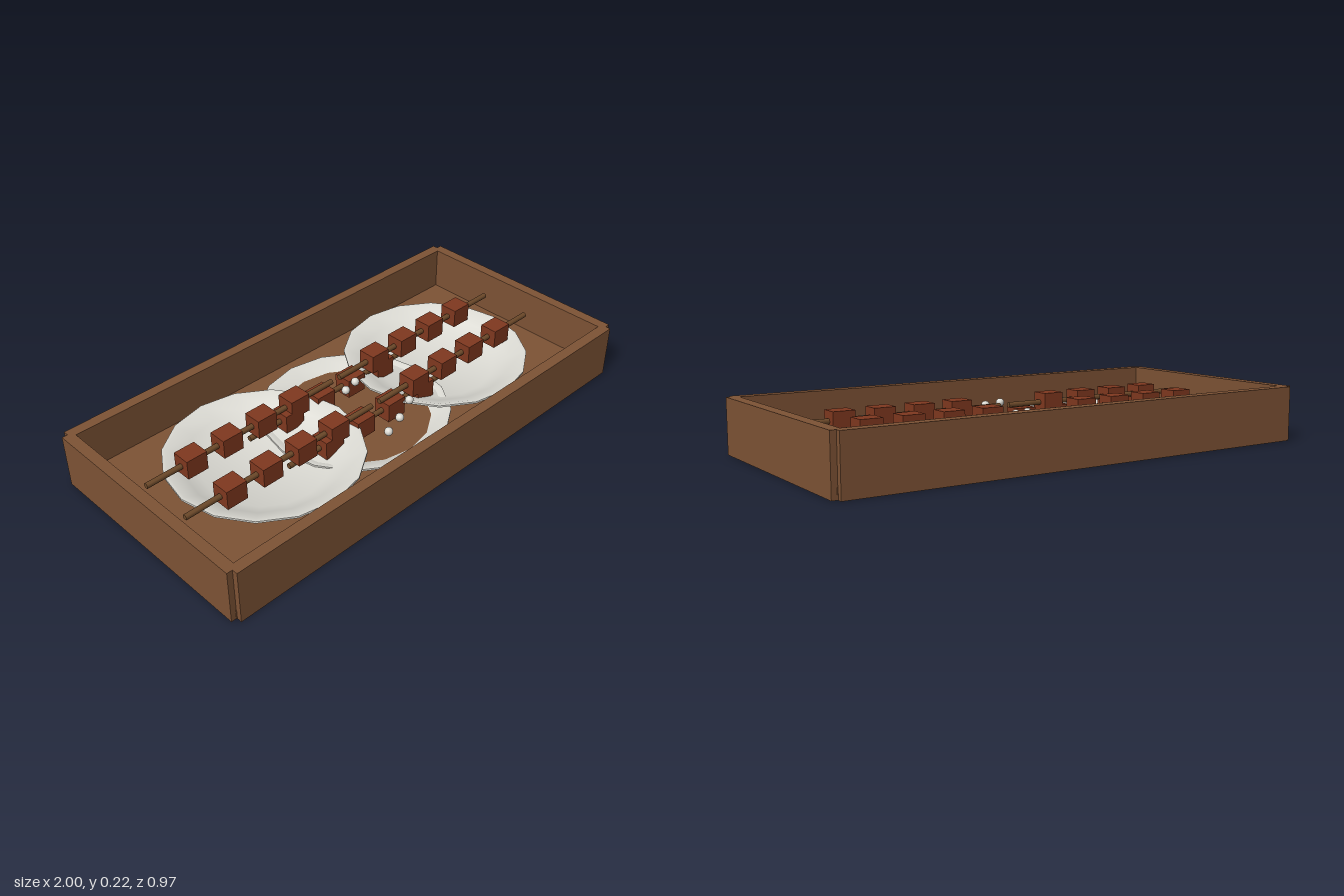
import * as THREE from 'three';
import { toCreasedNormals } from 'three/addons/utils/BufferGeometryUtils.js';

const material = (name, color) => {
  const m = new THREE.MeshStandardMaterial({ color });
  m.name = name;
  return m;
};

export function createModel() {
  const wood = material('wood', 0x7e5335);
  const porcelain = material('porcelain', 0xdddcd5);
  const meat = material('meat', 0x80381f);
  const stick = material('stick', 0x6e4a2a);

  const model = new THREE.Group();
  model.name = 'skewerTray';

  const add = (parent, name, geometry, mat, x, y, z) => {
    const mesh = new THREE.Mesh(geometry, mat);
    mesh.name = name;
    mesh.position.set(x, y, z);
    parent.add(mesh);
    return mesh;
  };

  // Open wooden tray: floor and four walls with notched corners
  const tray = new THREE.Group();
  tray.name = 'tray';
  model.add(tray);
  add(tray, 'floor', new THREE.BoxGeometry(1.96, 0.04, 0.93), wood, 0, 0.02, 0);
  const longWall = new THREE.BoxGeometry(1.955, 0.218, 0.044);
  const endWall = new THREE.BoxGeometry(0.044, 0.218, 0.926);
  for (const s of [1, -1]) {
    add(tray, s > 0 ? 'frontWall' : 'backWall', longWall, wood, 0, 0.109, s * 0.463);
    add(tray, s > 0 ? 'leftWall' : 'rightWall', endWall, wood, s * 0.978, 0.109, 0);
  }

  // Shallow plate: underside, lip, then the inside down to the middle
  const profile = [
    [0, 0], [0.24, 0], [0.375, 0.062], [0.375, 0.07], [0.362, 0.07],
    [0.3, 0.041], [0.24, 0.013], [0, 0.01],
  ].map(([r, y]) => new THREE.Vector2(r, y));
  const plateShape = toCreasedNormals(new THREE.LatheGeometry(profile, 16), 0.6);

  const stickShape = new THREE.CylinderGeometry(0.011, 0.011, 0.88, 8).rotateZ(Math.PI / 2);
  const chunkShape = new THREE.BoxGeometry(0.088, 0.078, 0.075);

  // A plate carrying two skewers of four chunks each
  const serving = (name, x, y) => {
    const group = new THREE.Group();
    group.name = name;
    group.position.set(x, y, 0);
    model.add(group);
    add(group, 'plate', plateShape, porcelain, 0, 0, 0);
    for (const z of [-0.11, 0.11]) {
      add(group, 'skewerStick', stickShape, stick, 0, 0.1, z);
      for (let i = 0; i < 4; i++) {
        add(group, 'meatChunk', chunkShape, meat, (i - 1.5) * 0.163, 0.1, z);
      }
    }
  };
  serving('middleServing', 0, -0.0005); // sunk into the floor
  serving('leftServing', 0.46, 0.05);
  serving('rightServing', -0.46, 0.05);

  // Small pale balls scattered over the middle plate
  const ballShape = new THREE.SphereGeometry(0.017, 10, 8);
  const balls = [[-0.01, -0.04], [0.055, -0.055], [0.12, 0.175], [0.015, 0.225], [-0.075, 0.255]];
  for (const [x, z] of balls) add(model, 'ball', ballShape, porcelain, x, 0.14, z);

  return model;
}
